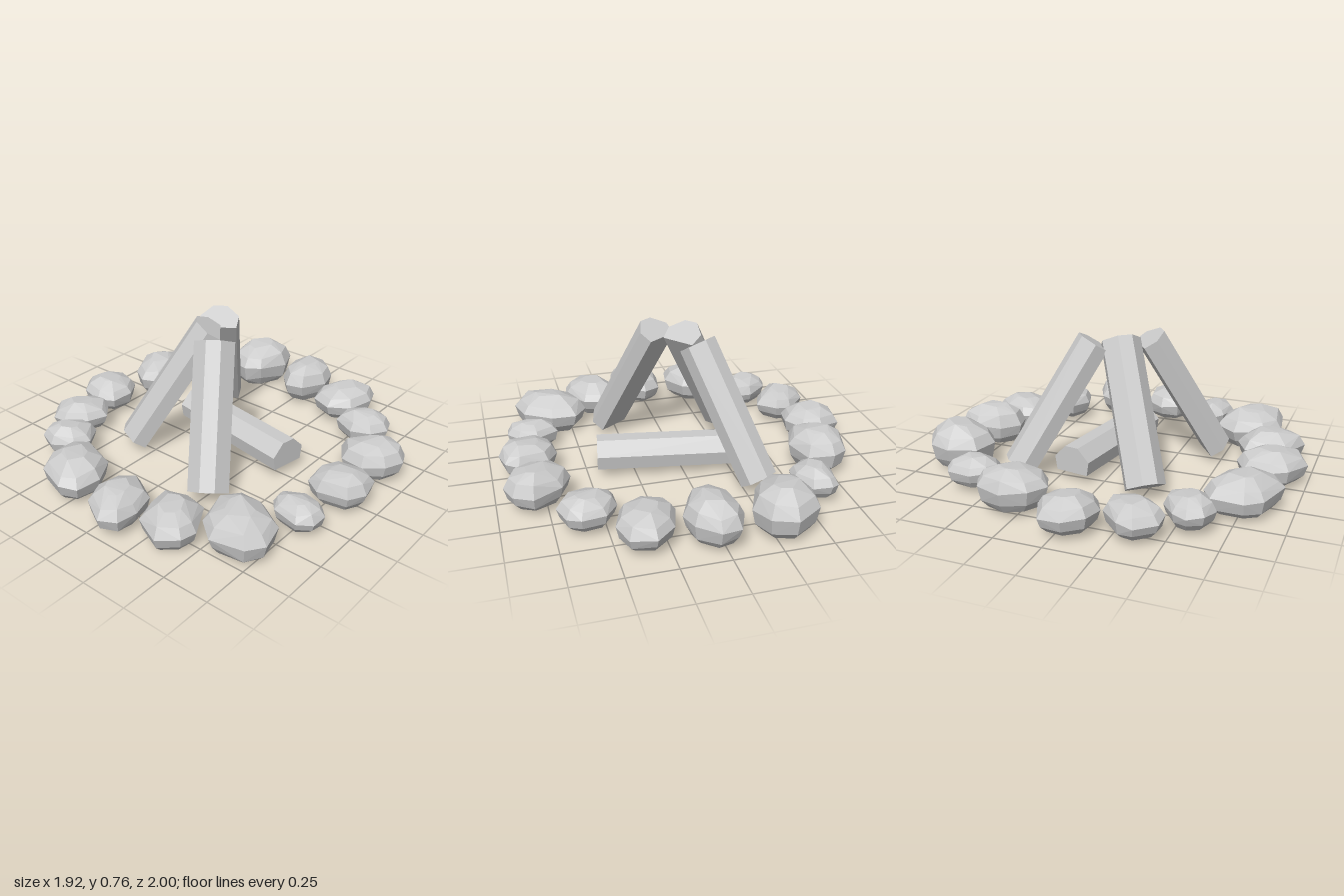
import * as THREE from 'three';
import { ConvexGeometry } from 'three/addons/geometries/ConvexGeometry.js';

const material = new THREE.MeshStandardMaterial({ color: 0xcccccc, flatShading: true });

function seeded(seed) {
  let s = seed * 7919 + 17;
  return () => (s = (s * 16807) % 2147483647) / 2147483647;
}

// Split log: flat underside, three facets on top, running from a to b
function log(name, a, b) {
  const section = new THREE.Shape([
    [-0.092, -0.07], [0.092, -0.07], [0.104, 0.005],
    [0.038, 0.072], [-0.038, 0.072], [-0.104, 0.005],
  ].map(([x, y]) => new THREE.Vector2(x, y)));
  const start = new THREE.Vector3(...a), end = new THREE.Vector3(...b);
  const geometry = new THREE.ExtrudeGeometry(section, { depth: start.distanceTo(end), bevelEnabled: false });
  const mesh = new THREE.Mesh(geometry, material);
  mesh.name = name;
  mesh.position.copy(start);
  mesh.lookAt(end);
  return mesh;
}

// Faceted stone: jittered octagonal rings wrapped in a hull, fitted to its bounds
function stone(seed, [x0, x1, z0, z1, yaw, y0, y1]) {
  const rand = seeded(seed);
  for (let i = 0; i < 5; i++) rand();
  const angle = THREE.MathUtils.degToRad(yaw);
  const rings = [[0, 0.7], [0.2, 0.9], [0.52, 1], [0.78, 0.82], [0.97, 0.4]];
  const outline = Array.from({ length: 8 }, (_, i) => ({
    t: (i + 0.5 + (rand() - 0.5) * 0.45) * Math.PI / 4,
    r: 0.95 + rand() * 0.12,
  }));
  const points = [];
  for (const [y, scale] of rings) {
    for (const { t, r } of outline) {
      const u = Math.cos(t) * r * scale * 1.25, v = Math.sin(t) * r * scale;
      points.push(new THREE.Vector3(
        u * Math.cos(angle) - v * Math.sin(angle),
        y + (y > 0 ? (rand() - 0.5) * 0.1 : 0),
        u * Math.sin(angle) + v * Math.cos(angle)));
    }
  }
  const box = new THREE.Box3().setFromPoints(points);
  const size = box.getSize(new THREE.Vector3());
  for (const p of points) {
    p.sub(box.min).divide(size);
    p.set(x0 + p.x * (x1 - x0), y0 + p.y * (y1 - y0), z0 + p.z * (z1 - z0));
  }
  const mesh = new THREE.Mesh(new ConvexGeometry(points), material);
  mesh.name = 'stone' + seed;
  return mesh;
}

export function createModel() {
  const model = new THREE.Group();
  model.name = 'campfire';

  // Three logs leaning together and one lying beneath them
  const logs = new THREE.Group();
  logs.name = 'logs';
  logs.add(
    log('backLog', [-0.335, 0.07, -0.455], [-0.1, 0.715, -0.125]),
    log('frontRightLog', [-0.375, 0.07, 0.275], [-0.055, 0.725, 0.02]),
    log('frontLeftLog', [0.3, 0.07, 0.455], [0.08, 0.715, 0.135]),
    log('lyingLog', [-0.31, 0.12, -0.16], [0.44, 0.12, -0.03]),
  );
  model.add(logs);

  // Ring of stones: x range, z range, yaw of the long axis in degrees, y range
  const ring = new THREE.Group();
  ring.name = 'stoneRing';
  [
    [-0.48, -0.145, -1, -0.615, -70, 0.02, 0.26],
    [-0.1, 0.18, -0.99, -0.62, 80, 0.03, 0.24],
    [0.19, 0.495, -0.93, -0.57, -70, 0.03, 0.2],
    [0.445, 0.735, -0.69, -0.435, -15, 0.035, 0.19],
    [0.62, 0.96, -0.45, -0.145, -25, 0.03, 0.215],
    [0.65, 0.955, -0.11, 0.16, -10, 0.03, 0.2],
    [0.61, 0.885, 0.215, 0.43, 10, 0.03, 0.165],
    [0.41, 0.81, 0.415, 0.77, 30, 0, 0.21],
    [0.18, 0.49, 0.58, 0.935, 60, 0.01, 0.19],
    [-0.1, 0.19, 0.64, 1, 65, 0.025, 0.2],
    [-0.49, -0.14, 0.575, 0.945, 60, 0.02, 0.21],
    [-0.73, -0.45, 0.435, 0.695, -35, 0.04, 0.19],
    [-0.89, -0.585, 0.195, 0.49, -40, 0.03, 0.19],
    [-0.965, -0.655, -0.1, 0.19, 10, 0.03, 0.2],
    [-0.855, -0.55, -0.47, -0.11, 65, 0.03, 0.24],
    [-0.675, -0.45, -0.72, -0.44, 60, 0.04, 0.19],
  ].forEach((bounds, i) => ring.add(stone(i + 1, bounds)));
  model.add(ring);

  return model;
}
